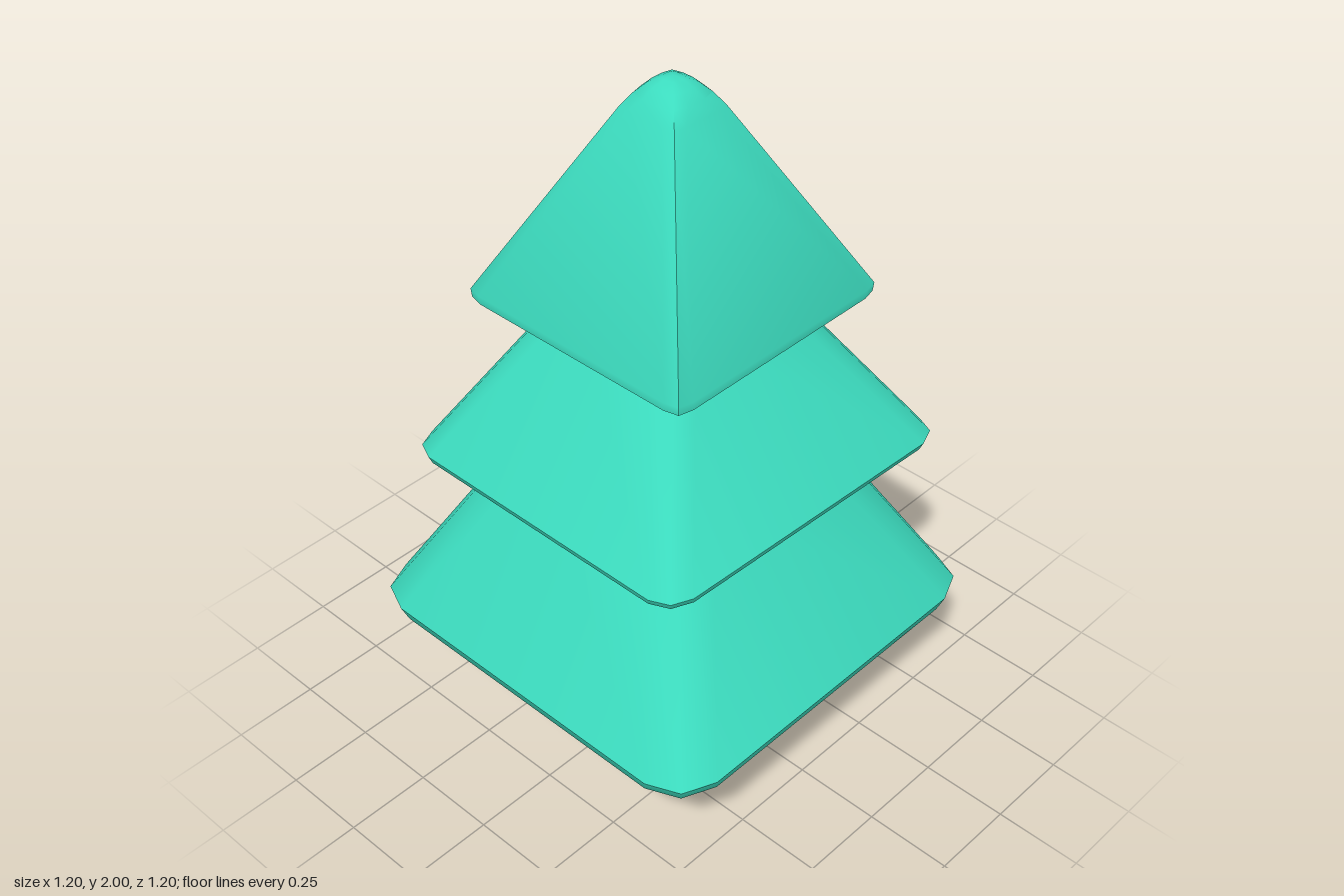
import * as THREE from 'three';
import { toCreasedNormals } from 'three/addons/utils/BufferGeometryUtils.js';

// Square cross-section with each corner cut by two facets: 12 points.
// half: half width, cut: corner size, inset: how far the corner's middle point sits in
function ring({ y, half, cut, inset, taper = 0 }) {
  const m = half - cut * inset;
  const corner = [[half, half - cut], [m, m], [half - cut, half]];
  const points = [];
  for (let q = 0; q < 4; q++) {
    for (let [x, z] of corner) {
      for (let i = 0; i < q; i++) [x, z] = [-z, x];
      points.push([x, y, z * (1 + taper * (x - 0.51))]);
    }
  }
  return points;
}

// Closed loft through the sections, from bottom to top
function loft(sections, peakY) {
  const rings = sections.map(ring);
  const count = rings[0].length;
  const pos = [];
  const tri = (...corners) => corners.forEach((p) => pos.push(...p));
  const last = rings[rings.length - 1];
  const base = [0, sections[0].y, 0];
  const peak = [0, peakY, 0];
  for (let i = 0; i < count; i++) {
    const j = (i + 1) % count;
    tri(base, rings[0][i], rings[0][j]);
    for (let k = 0; k + 1 < rings.length; k++) {
      const [a, b] = [rings[k], rings[k + 1]];
      tri(a[i], b[i], b[j]);
      tri(a[i], b[j], a[j]);
    }
    tri(peak, last[j], last[i]);
  }
  const geometry = new THREE.BufferGeometry();
  geometry.setAttribute('position', new THREE.Float32BufferAttribute(pos, 3));
  return toCreasedNormals(geometry, 0.8);
}

// Profile rows are [y, half width, corner size]
function part(name, material, profile, inset, taper = 0) {
  const sections = profile.map(([y, half, cut]) => ({ y, half, cut, inset, taper }));
  const peakY = name === 'topFoliage' ? 2 : profile[profile.length - 1][0];
  const mesh = new THREE.Mesh(loft(sections, peakY), material);
  mesh.name = name;
  return mesh;
}

export function createModel() {
  const foliage = new THREE.MeshStandardMaterial({ color: 0x3cdcbf });
  foliage.name = 'foliageGreen';
  const bark = new THREE.MeshStandardMaterial({ color: 0xd58c6b });
  bark.name = 'barkBrown';

  const tree = new THREE.Group();
  tree.name = 'tree';
  tree.add(
    part('trunk', bark, [[0, 0.3, 0.15], [0.37, 0.247, 0.14]], 0.27),
    // Broad lowest tier with cut corners
    part('lowerFoliage', foliage,
      [[0.345, 0.565, 0.12], [0.36, 0.585, 0.13], [0.4, 0.6, 0.13], [0.95, 0.31, 0.13]], 0.3),
    // Middle tier, slightly narrower towards -x
    part('middleFoliage', foliage,
      [[0.895, 0.485, 0.07], [0.905, 0.503, 0.08], [0.925, 0.51, 0.08], [1.42, 0.205, 0.08]], 0.3, 0.068),
    // Top tier with a rounded tip
    part('topFoliage', foliage,
      [[1.37, 0.35, 0.045], [1.38, 0.368, 0.05], [1.405, 0.37, 0.05], [1.92, 0.098, 0.04],
        [1.955, 0.077, 0.05], [1.98, 0.052, 0.036], [1.995, 0.024, 0.017]], 0.2),
  );
  return tree;
}
